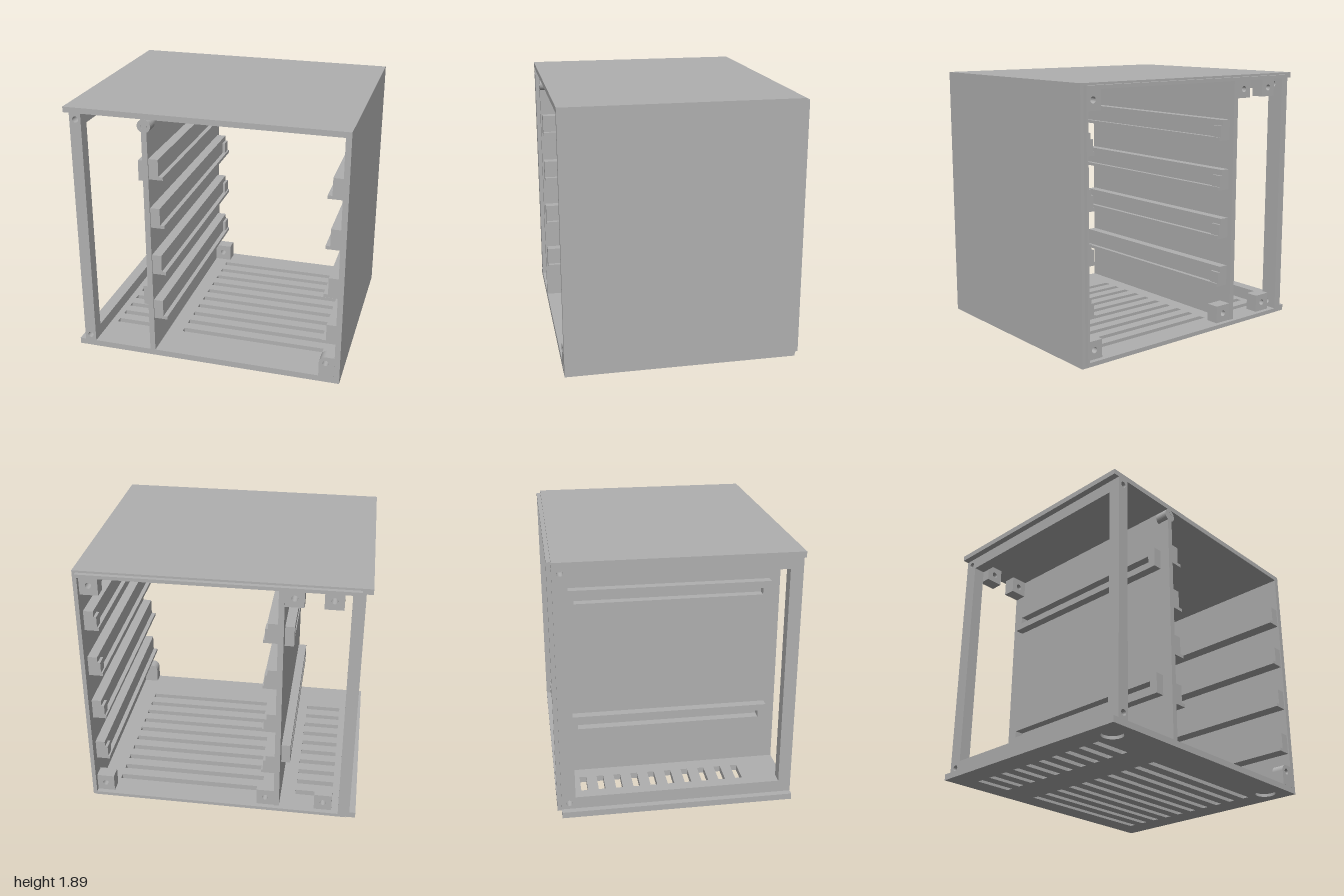
import * as THREE from 'three';

const shell = new THREE.MeshStandardMaterial({ color: 0xb0b0b0 });
shell.name = 'light grey';

export function createModel() {
  const root = new THREE.Group();
  root.name = 'rackCabinet';

  const add = (name, geo) => {
    const mesh = new THREE.Mesh(geo, shell);
    mesh.name = name;
    root.add(mesh);
    return mesh;
  };
  // box from its limits
  const box = (name, x0, x1, y0, y1, z0, z1) => {
    const g = new THREE.BoxGeometry(x1 - x0, y1 - y0, z1 - z0);
    g.translate((x0 + x1) / 2, (y0 + y1) / 2, (z0 + z1) / 2);
    return add(name, g);
  };
  const rect = (u0, u1, v0, v1, Kind = THREE.Shape) => {
    const s = new Kind();
    s.moveTo(u0, v0); s.lineTo(u1, v0); s.lineTo(u1, v1); s.lineTo(u0, v1);
    s.closePath();
    return s;
  };
  const circle = (u, v, r, Kind = THREE.Path) => {
    const s = new Kind();
    s.absarc(u, v, r, 0, Math.PI * 2, false);
    return s;
  };
  const extrude = (shape, depth) =>
    new THREE.ExtrudeGeometry(shape, { depth, bevelEnabled: false, curveSegments: 16 });
  // outline in x,y pulled along z
  const alongZ = (name, shape, z0, z1) => add(name, extrude(shape, z1 - z0).translate(0, 0, z0));
  // outline in x,-z pulled along y
  const alongY = (name, shape, y0, y1) =>
    add(name, extrude(shape, y1 - y0).rotateX(-Math.PI / 2).translate(0, y0, 0));
  // outline in -z,y pulled along x
  const alongX = (name, shape, x0, x1) =>
    add(name, extrude(shape, x1 - x0).rotateY(Math.PI / 2).translate(x0, 0, 0));

  const BACK = -0.82, FRONT = 0.85, FLOOR = 0.045, CEIL = 1.85;

  // outer shell
  box('topPanel', -1, 1, CEIL, 1.89, BACK, FRONT);
  box('sideWall', 0.96, 1, FLOOR, CEIL, BACK, FRONT);
  box('divider', -0.43, -0.39, FLOOR, CEIL, BACK, FRONT);

  // floor: slotted, with round foot recesses on the underside
  [[0, 0.022, true], [0.022, FLOOR, false]].forEach(([y0, y1, feet]) => {
    const s = rect(-1, 1, -FRONT, -BACK);
    for (let i = 0; i < 10; i++) {
      const v = 0.64 - i * 0.129;
      s.holes.push(rect(-0.28, 0.82, v - 0.025, v + 0.025, THREE.Path));
      s.holes.push(rect(-0.82, -0.54, v - 0.025, v + 0.025, THREE.Path));
    }
    if (feet) for (const x of [-0.84, 0.84]) s.holes.push(circle(x, -0.69, 0.075));
    alongY(feet ? 'floorUnderside' : 'floor', s, y0, y1);
  });

  // rear rim
  const rim = rect(-0.93, 0.975, 0.02, 1.875);
  rim.holes.push(rect(-0.87, 0.96, FLOOR, CEIL, THREE.Path));
  alongZ('rearRim', rim, -0.85, BACK);

  // open side frame
  const frontPost = rect(-0.955, -0.87, FLOOR, CEIL);
  frontPost.holes.push(circle(-0.91, 0.09, 0.022), circle(-0.91, 1.805, 0.022));
  alongZ('frontPost', frontPost, 0.76, FRONT);
  const rearPost = rect(0.72, -BACK, FLOOR, CEIL);
  rearPost.holes.push(circle(0.765, 0.09, 0.022), circle(0.765, 1.805, 0.022));
  alongX('rearPost', rearPost, -0.955, -0.87);
  box('lowerSideRail', -0.955, -0.87, FLOOR, 0.135, -0.72, 0.76);
  box('upperSideRail', -0.955, -0.87, 1.76, CEIL, -0.72, 0.76);

  // module guide rails, mirrored about the middle of the large bay
  const mid = 0.285;
  for (let i = 0; i < 4; i++) {
    const y = 0.315 + i * 0.367;
    for (const side of [-1, 1]) {
      const part = (name, a, b, y0, y1, z0, z1) => {
        const p = mid + side * a, q = mid + side * b;
        box(name, Math.min(p, q), Math.max(p, q), y0, y1, z0, z1);
      };
      part('guideRail', 0.605, 0.675, y, y + 0.15, -0.78, 0.84);
      part('guideLedge', 0.573, 0.605, y, y + 0.024, -0.78, 0.84);
      part('guideStop', 0.585, 0.605, y + 0.024, y + 0.108, -0.78, -0.7);
    }
  }

  // slotted cleats in the narrow bay
  for (const y of [0.38, 1.37]) {
    const s = rect(-0.77, 0.72, y, y + 0.15);
    s.holes.push(rect(-0.71, 0.66, y + 0.05, y + 0.1, THREE.Path));
    alongX('slottedCleat', s, -0.495, -0.43);
  }

  // rear screw blocks
  [[-0.82, 1.72], [-0.56, 1.72], [0.83, 1.71], [-0.82, FLOOR], [-0.39, FLOOR], [0.83, FLOOR]]
    .forEach(([x, y]) => {
      const top = y > 1 ? CEIL : y + 0.13;
      const s = rect(x, x + 0.13, y, top);
      s.holes.push(circle(x + 0.065, (y + top) / 2, 0.022));
      alongZ('screwBlock', s, BACK + 0.005, BACK + 0.1);
    });

  // front screw lugs with blind holes
  const lug = (outline, x, y) => {
    alongZ('frontLugBack', outline(), 0.76, 0.78);
    const s = outline();
    s.holes.push(circle(x, y, 0.022));
    alongZ('frontLug', s, 0.78, FRONT + 0.001);
  };
  lug(() => circle(-0.41, 1.802, 0.048, THREE.Shape), -0.41, 1.802);
  lug(() => {
    const s = new THREE.Shape();
    s.moveTo(0.848, FLOOR);
    s.lineTo(0.96, FLOOR);
    s.lineTo(0.96, 0.205);
    s.lineTo(0.898, 0.205);
    s.absarc(0.898, 0.155, 0.05, Math.PI / 2, Math.PI, false);
    s.closePath();
    return s;
  }, 0.898, 0.155);

  return root;
}
